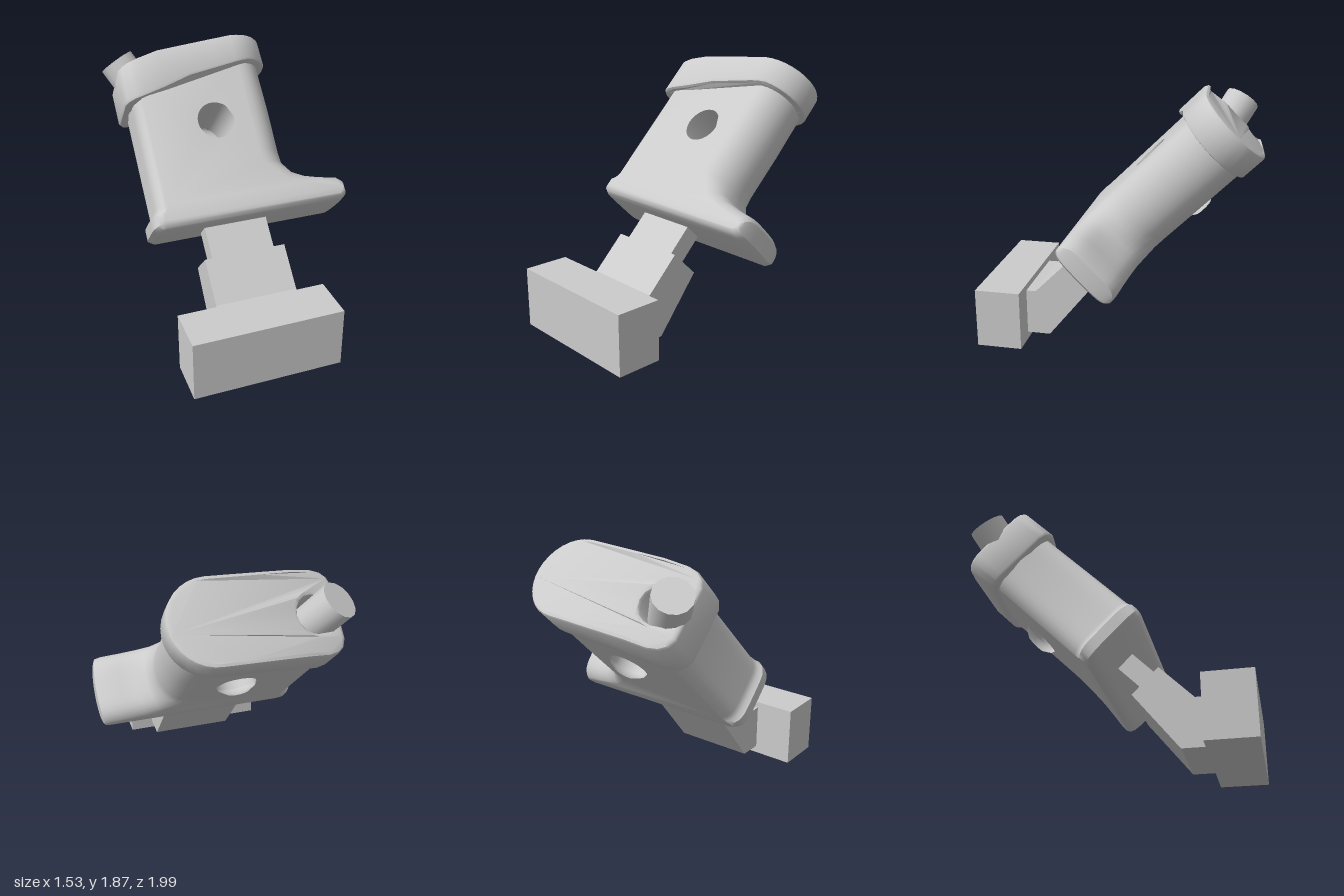
import * as THREE from 'three';
import { toCreasedNormals } from 'three/addons/utils/BufferGeometryUtils.js';

const grey = new THREE.MeshStandardMaterial({ color: 0xcccccc });

function add(parent, name, geometry) {
  const mesh = new THREE.Mesh(geometry, grey);
  mesh.name = name;
  parent.add(mesh);
  return mesh;
}

const shapeOf = (points) => new THREE.Shape(points.map(([x, y]) => new THREE.Vector2(x, y)));

function circleHole(x, y, r) {
  const path = new THREE.Path();
  path.absarc(x, y, r, 0, Math.PI * 2, true);
  return path;
}

// Piecewise linear lookup through [x, value] pairs
function lookup(table, x) {
  if (x <= table[0][0]) return table[0][1];
  for (let i = 1; i < table.length; i++) {
    const [x0, y0] = table[i - 1], [x1, y1] = table[i];
    if (x <= x1) return y0 + (y1 - y0) * (x - x0) / (x1 - x0);
  }
  return table[table.length - 1][1];
}

function reshape(geometry, rule, crease) {
  const pos = geometry.attributes.position;
  const p = new THREE.Vector3();
  for (let i = 0; i < pos.count; i++) {
    rule(p.fromBufferAttribute(pos, i));
    pos.setXYZ(i, p.x, p.y, p.z);
  }
  return toCreasedNormals(geometry, crease);
}

// Grip with flared foot: a side profile swept front to back, its ends rounded by rule
function gripGeometry() {
  const shape = shapeOf([
    [-0.64, 0.405], [0.73, 0.405], [0.765, 0.43], [0.765, 0.55], [0.73, 0.58], [0.6, 0.605],
    [0.49, 0.635], [0.42, 0.68], [0.385, 0.76], [0.38, 0.85], [0.39, 1.2], [0.39, 1.58],
    [-0.63, 1.4], [-0.63, 0.57], [-0.65, 0.53], [-0.68, 0.51], [-0.68, 0.43],
  ]);
  shape.holes.push(circleHole(-0.08, 1.12, 0.135));
  const geometry = new THREE.ExtrudeGeometry(shape, {
    depth: 1, steps: 16, bevelEnabled: false, curveSegments: 16,
  });
  return reshape(geometry, (p) => {
    const s = Math.sin((p.z - 0.5) * Math.PI);
    const inset = 1 - Math.sqrt(Math.max(0, 1 - s * s));
    const x = p.x, y = p.y;
    if (x > 0.3) {
      p.x -= inset * (0.04 + 0.16 * THREE.MathUtils.smoothstep(y, 0.62, 0.78));
      if (y > 0.5 && y < 0.7) p.y -= 0.07 * s ** 6;
    }
    if (x < -0.5) p.x += 0.07 * s ** 6;
    if (y < 0.45) p.y += 0.03 * s ** 10;
    p.z = 0.612 + 0.244 * s;
  }, 0.75);
}

// Cap: rounded outline whose top and lower rim slope along x
function capGeometry() {
  const half = [[-0.69, 0.18], [-0.665, 0.235], [-0.62, 0.27], [-0.55, 0.288],
    [-0.4, 0.29], [-0.2, 0.29], [0, 0.29], [0.16, 0.29]];
  for (let i = 1; i < 8; i++) {
    const a = (i / 16) * Math.PI;
    half.push([0.16 + 0.29 * Math.sin(a), 0.29 * Math.cos(a)]);
  }
  const outline = [
    ...half.map(([x, w]) => [x, -0.624 - w]),
    [0.45, -0.624],
    ...half.slice().reverse().map(([x, w]) => [x, -0.624 + w]),
  ];
  const shape = shapeOf(outline);
  shape.holes.push(circleHole(-0.51, -0.61, 0.125));
  const geometry = new THREE.ExtrudeGeometry(shape, {
    depth: 0.84, bevelThickness: 0.08, bevelSize: 0.025, bevelOffset: -0.025,
    bevelSegments: 2, curveSegments: 8,
  });
  geometry.rotateX(-Math.PI / 2);
  const top = [[-0.69, 1.61], [-0.4, 1.69], [0.15, 1.745], [0.45, 1.75]];
  const bottom = [[-0.69, 1.33], [-0.5, 1.36], [-0.2, 1.46], [0.27, 1.54], [0.45, 1.54]];
  return reshape(geometry, (p) => {
    p.y = THREE.MathUtils.lerp(lookup(bottom, p.x), lookup(top, p.x), p.y + 0.08);
  }, 0.65);
}

export function createModel() {
  const model = new THREE.Group();
  model.name = 'handGrip';

  // Mounting block
  add(model, 'mountBlock', new THREE.BoxGeometry(1.05, 0.435, 0.33)).position.set(-0.125, 0.2175, 0.835);

  // Bent neck, drawn as (z, y) and swept across x
  const side = [[0.67, 0.39], [0.67, 0.055], [0.5, 0.055], [0.19, 0.44], [0.37, 0.62], [0.6, 0.39]];
  const neck = new THREE.ExtrudeGeometry(shapeOf(side.map(([z, y]) => [-z, y])), {
    depth: 0.59, bevelEnabled: false,
  });
  neck.rotateY(Math.PI / 2).translate(-0.36, 0, 0);
  add(model, 'neck', neck);

  // Everything above the neck leans back 45 degrees
  const leaning = new THREE.Group();
  leaning.name = 'leaningHandle';
  leaning.rotation.x = -Math.PI / 4;
  model.add(leaning);

  add(leaning, 'peg', new THREE.BoxGeometry(0.46, 0.3, 0.138)).position.set(-0.07, 0.29, 0.599);
  add(leaning, 'grip', gripGeometry());
  add(leaning, 'cap', capGeometry());

  // Inward-facing cup closing the rear of the bore
  const cup = new THREE.LatheGeometry([[0.135, 0.37], [0.125, 0.345], [0.07, 0.31], [0, 0.305]]
    .map(([r, v]) => new THREE.Vector2(r, v)), 16);
  cup.rotateX(Math.PI / 2).translate(-0.08, 1.12, 0);
  add(leaning, 'boreEnd', cup);

  // Slanted thumb button rising out of the cap pocket
  const direction = new THREE.Vector3(-0.45, 0.75, -0.45).normalize();
  const button = add(model, 'thumbButton',
    toCreasedNormals(new THREE.CylinderGeometry(0.13, 0.13, 0.34, 14), 0.7));
  button.quaternion.setFromUnitVectors(new THREE.Vector3(0, 1, 0), direction);
  button.position.set(-0.645, 1.7, -0.785).addScaledVector(direction, -0.17);

  return model;
}
